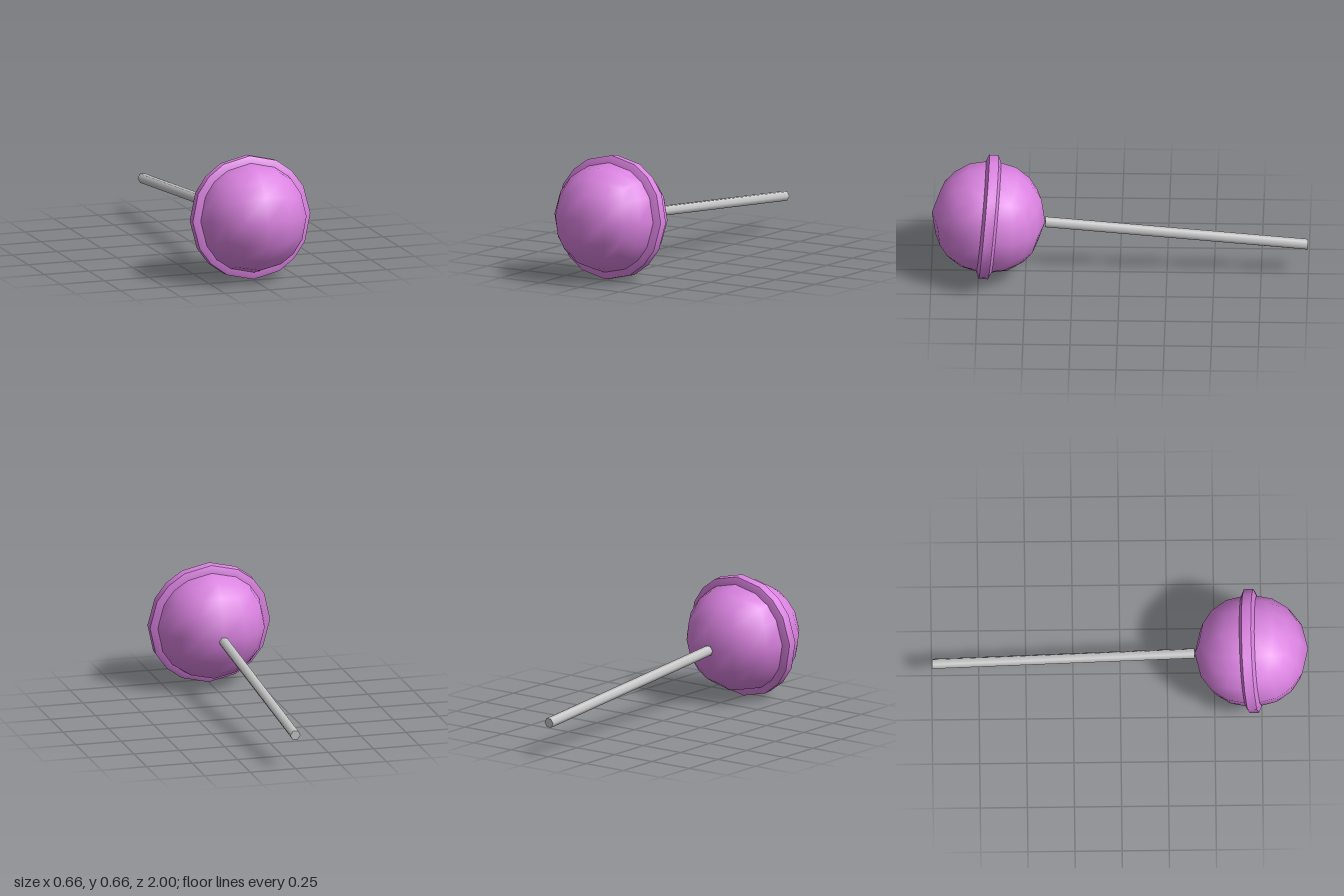
import * as THREE from 'three';
import { toCreasedNormals } from 'three/addons/utils/BufferGeometryUtils.js';

const R = 0.302; // candy radius
const TILT = THREE.MathUtils.degToRad(5);

// Sphere made by rounding out a subdivided cube
function cubeSphere(radius, segments) {
  const geo = new THREE.BoxGeometry(2, 2, 2, segments, segments, segments);
  const pos = geo.attributes.position;
  const v = new THREE.Vector3();
  for (let i = 0; i < pos.count; i++) {
    v.fromBufferAttribute(pos, i).normalize();
    geo.attributes.normal.setXYZ(i, v.x, v.y, v.z);
    pos.setXYZ(i, v.x * radius, v.y * radius, v.z * radius);
  }
  return geo;
}

// Bevelled band around z, its corners lined up with the cube sphere's equator
function bandGeometry() {
  const profile = [[0.27, -0.042], [0.297, -0.04], [0.331, -0.025], [0.331, 0.025], [0.297, 0.04], [0.27, 0.042]]
    .map(([r, h]) => new THREE.Vector2(r, h));
  const geo = new THREE.LatheGeometry(profile, 16).rotateX(Math.PI / 2);
  const steps = [0, Math.atan2(1, 2), Math.PI / 4, Math.atan2(2, 1)];
  const pos = geo.attributes.position;
  for (let i = 0; i < pos.count; i++) {
    const x = pos.getX(i), y = pos.getY(i), r = Math.hypot(x, y);
    const k = (Math.round(Math.atan2(y, x) / (Math.PI / 8)) + 16) % 16;
    const a = Math.floor(k / 4) * Math.PI / 2 + steps[k % 4];
    pos.setXY(i, r * Math.cos(a), r * Math.sin(a));
  }
  return toCreasedNormals(geo, 0.6);
}

export function createModel() {
  const pink = new THREE.MeshStandardMaterial({ color: 0xda82e0 });
  pink.name = 'candyPink';
  const grey = new THREE.MeshStandardMaterial({ color: 0xcccccc });
  grey.name = 'stickGrey';

  const model = new THREE.Group();
  model.name = 'lollipop';
  const body = new THREE.Group();
  body.name = 'tiltedLollipop';
  model.add(body);
  const add = (name, geo, mat) => {
    const mesh = new THREE.Mesh(geo, mat);
    mesh.name = name;
    body.add(mesh);
    return mesh;
  };

  add('candyBall', cubeSphere(R, 4), pink);
  add('candyBand', bandGeometry(), pink);

  // Six-sided stick running backwards from the ball
  const near = 0.302, far = 1.7;
  const stick = add('stick', new THREE.CylinderGeometry(0.028, 0.028, far - near, 6).rotateY(Math.PI / 2).rotateX(Math.PI / 2), grey);
  stick.position.z = -(near + far) / 2;

  // Lying down: resting on the band with the stick sloping to the back
  body.rotation.x = -TILT;
  body.position.set(0, 0.332, 0.697);
  return model;
}
